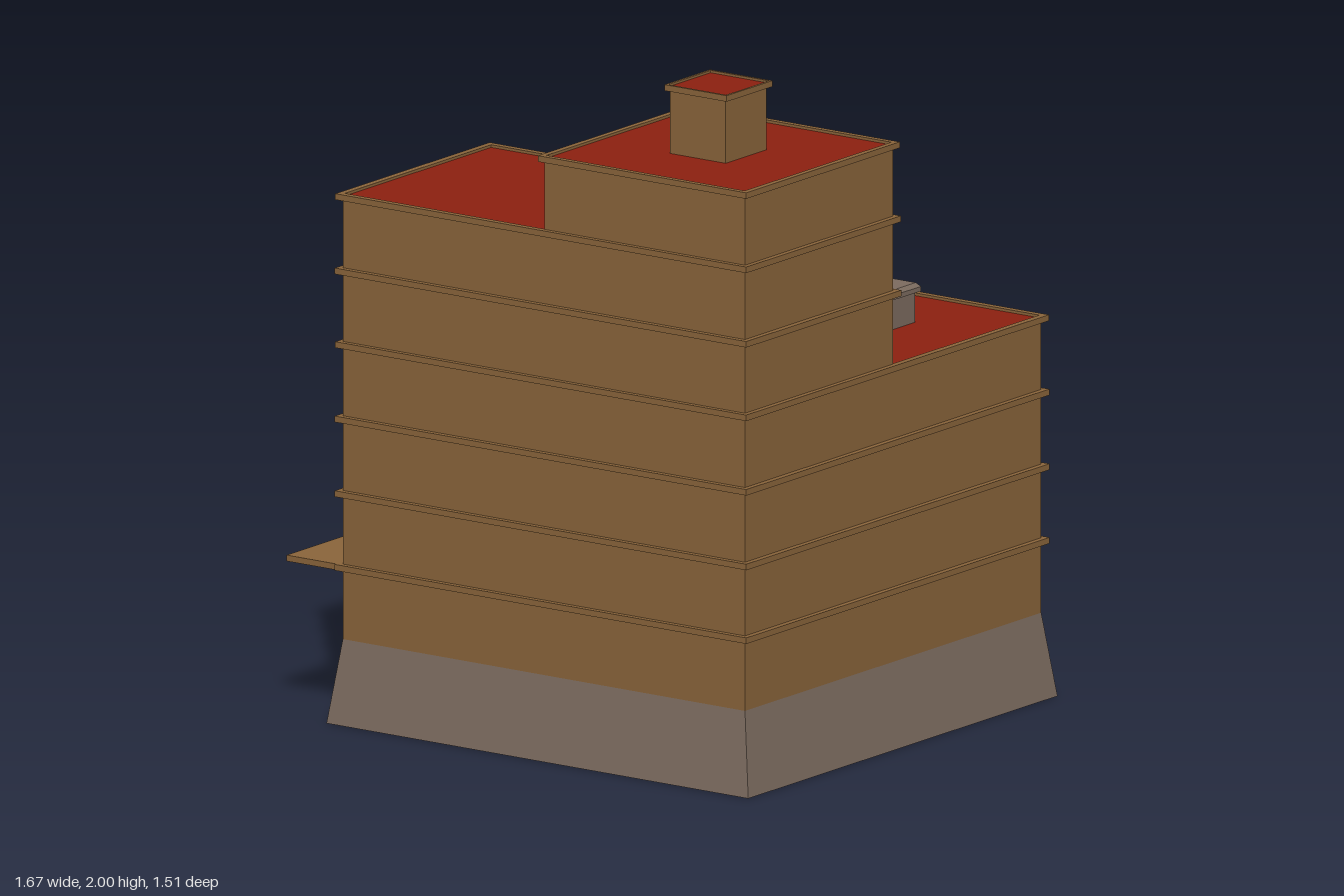
import * as THREE from 'three';

const mat = (name, color, side = THREE.DoubleSide) => {
  const m = new THREE.MeshStandardMaterial({ color, side });
  m.name = name;
  return m;
};

export function createModel() {
  const group = new THREE.Group();
  const brick = mat('tan brick', 0x8b653b);
  const stone = mat('grey stone', 0x7d6c60);
  const red = mat('red roofing', 0x8e2010);

  // Footprints are [x0, x1, z0, z1]
  const grow = ([a, b, c, d], g) => [a - g, b + g, c - g, d + g];
  const add = (name, geometry, material) => {
    const m = new THREE.Mesh(geometry, material);
    m.name = name;
    group.add(m);
    return m;
  };

  // Four walls joining a lower rectangle to an upper one, open at both ends
  const walls = (name, low, y0, high, y1, material) => {
    const corners = ([a, b, c, d], y) => [[a, y, d], [b, y, d], [b, y, c], [a, y, c]];
    const lo = corners(low, y0), hi = corners(high, y1), pos = [];
    for (let i = 0; i < 4; i++) {
      const j = (i + 1) % 4;
      for (const p of [lo[i], lo[j], hi[j], lo[i], hi[j], hi[i]]) pos.push(...p);
    }
    const g = new THREE.BufferGeometry();
    g.setAttribute('position', new THREE.Float32BufferAttribute(pos, 3));
    g.computeVertexNormals();
    return add(name, g, material);
  };

  // Flat upward-facing panel
  const panel = (name, [a, b, c, d], y, material) => {
    const g = new THREE.PlaneGeometry(b - a, d - c).rotateX(-Math.PI / 2);
    return add(name, g.translate((a + b) / 2, y, (c + d) / 2), material);
  };

  // Rectangular moulding around a footprint
  const band = (name, foot, y, out, inset, h = 0.018) => {
    const trace = (path, [a, b, c, d]) => {
      path.moveTo(a, -d);
      path.lineTo(b, -d);
      path.lineTo(b, -c);
      path.lineTo(a, -c);
      path.closePath();
      return path;
    };
    const shape = trace(new THREE.Shape(), grow(foot, out));
    shape.holes.push(trace(new THREE.Path(), grow(foot, -inset)));
    const g = new THREE.ExtrudeGeometry(shape, { depth: h, bevelEnabled: false });
    return add(name, g.rotateX(-Math.PI / 2).translate(0, y - h / 2, 0), brick);
  };

  const main = [-0.645, 0.8, -0.725, 0.725];
  const front = [-0.645, 0.8, 0, 0.725];
  const tower = [0.08, 0.8, 0, 0.725];
  const chimney = [0.34, 0.54, 0.265, 0.465];

  // Flared base and stepped wall blocks
  walls('base', [-0.68, 0.835, -0.757, 0.757], 0, main, 0.25, stone);
  walls('mainWalls', main, 0.25, main, 1.13, brick);
  walls('frontWalls', front, 1.13, front, 1.57, brick);
  walls('towerWalls', tower, 1.57, tower, 1.79, brick);
  walls('chimneyWalls', chimney, 1.78, chimney, 1.99, brick);

  // Storey mouldings
  for (const y of [0.465, 0.685, 0.908]) band('storeyBand', main, y, 0.017, 0.012);
  band('storeyBand', front, 1.35, 0.017, 0.012);

  // Roof rims
  band('backRoofRim', main, 1.13, 0.016, 0.004);
  band('frontRoofRim', front, 1.572, 0.016, 0.004);
  band('towerRim', tower, 1.793, 0.014, 0.004);
  band('chimneyRim', chimney, 1.991, 0.012, -0.004);

  // Red roofs
  panel('backRoof', [-0.645, 0.8, -0.725, 0], 1.131, red);
  panel('frontRoof', [-0.645, 0.08, 0, 0.725], 1.573, red);
  panel('towerRoof', tower, 1.794, red);
  panel('chimneyTop', grow(chimney, 0.006), 1.993, red);

  // Side canopy
  add('canopy', new THREE.BoxGeometry(0.195, 0.018, 1.47).translate(-0.7425, 0.465, 0), brick);

  // Roof vents with bevelled caps
  for (const x of [-0.283, 0.438]) {
    const foot = [x - 0.1, x + 0.1, -0.463, -0.263];
    const lip = grow(foot, 0.013), top = grow(foot, 0.002);
    walls('ventBody', foot, 1.125, foot, 1.225, stone);
    panel('ventCapUnderside', lip, 1.224, stone);
    walls('ventCapEdge', lip, 1.224, lip, 1.238, stone);
    walls('ventCapBevel', lip, 1.238, top, 1.25, stone);
    panel('ventCapTop', top, 1.25, stone);
  }
  return group;
}
